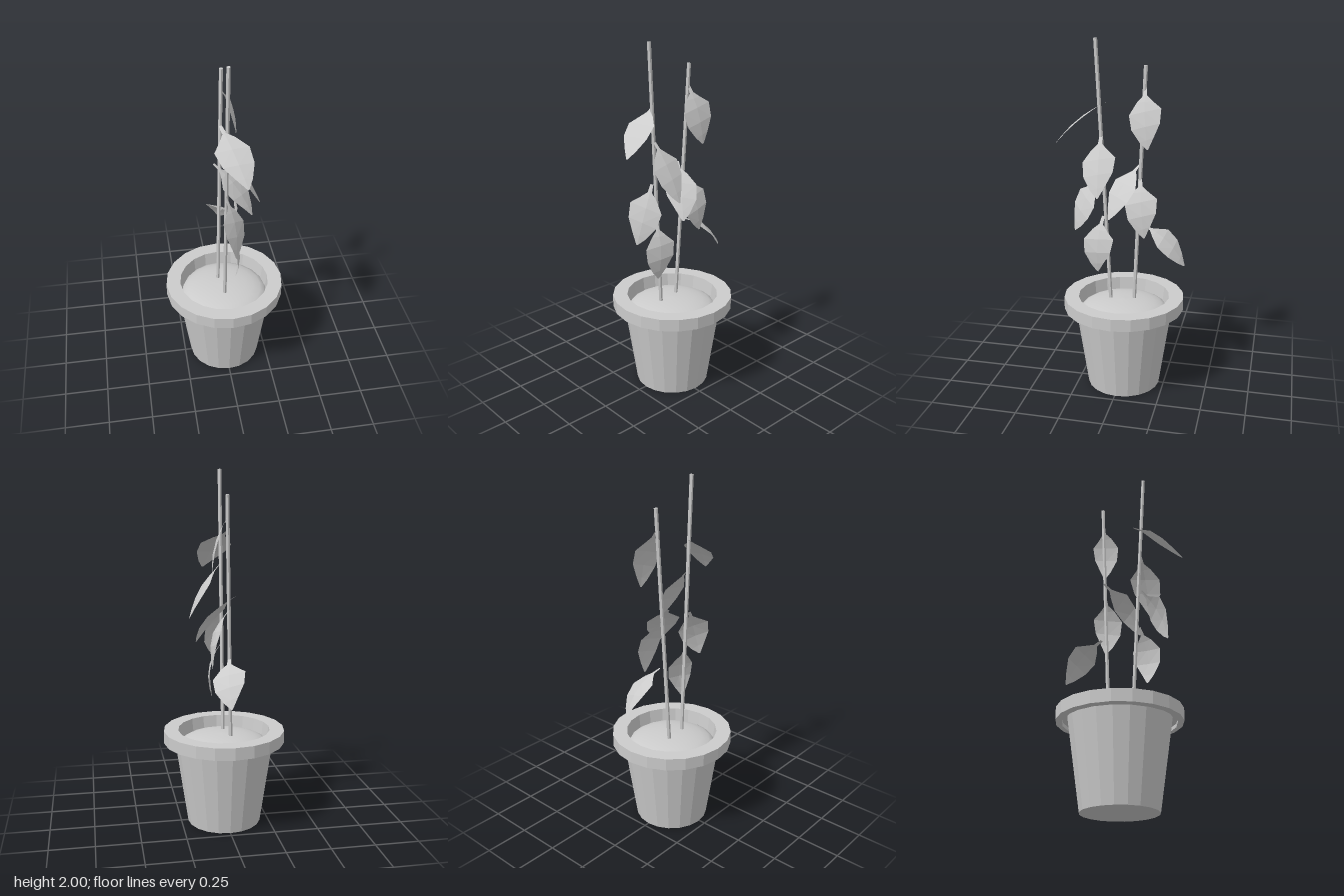
import * as THREE from 'three';

const V = (a) => new THREE.Vector3(...a);
const flat = new THREE.MeshStandardMaterial({ color: 0xcccccc, flatShading: true });
const smooth = new THREE.MeshStandardMaterial({ color: 0xcccccc });
const leafMat = new THREE.MeshStandardMaterial({ color: 0xcccccc, flatShading: true, side: THREE.DoubleSide });

function lathe(name, profile, material) {
  const points = profile.map(([r, y]) => new THREE.Vector2(r, y));
  const mesh = new THREE.Mesh(new THREE.LatheGeometry(points, 20), material);
  mesh.name = name;
  mesh.position.z = -0.01;
  return mesh;
}

// Straight six-sided cane between two points
function stem(name, from, to) {
  const a = V(from), b = V(to), dir = b.clone().sub(a);
  const mesh = new THREE.Mesh(new THREE.CylinderGeometry(0.011, 0.011, dir.length(), 6), flat);
  mesh.name = name;
  mesh.position.copy(a).add(b).multiplyScalar(0.5);
  mesh.quaternion.setFromUnitVectors(new THREE.Vector3(0, 1, 0), dir.normalize());
  return mesh;
}

// Blade outline: [distance along the leaf, half width, left/right stagger]
const OUTLINE = [
  [0, 0.008, 0], [0.14, 0.012, 0], [0.24, 0.045, 0], [0.4, 0.09, 0.04],
  [0.64, 0.08, 0.04], [0.85, 0.04, 0.03], [1, 0.004, 0],
];

// Arched leaf from stalk to tip; side is the direction across the blade
function leaf({ base, tip, side, arch = 0.03 }) {
  const b = V(base), dir = V(tip).sub(b);
  const across = side ? V(side) : new THREE.Vector3(dir.z, 0, -dir.x);
  const d = dir.clone().normalize();
  across.addScaledVector(d, -across.dot(d)).normalize();
  const up = new THREE.Vector3().crossVectors(d, across);
  if (up.y < 0) up.negate();
  const pos = [], index = [];
  OUTLINE.forEach(([t, w, stagger], i) => {
    for (const s of [-1, 0, 1]) {
      const u = t + s * stagger;
      const lift = arch * Math.sin(Math.PI * u) - Math.abs(s) * w * 0.08;
      const p = b.clone().addScaledVector(dir, u).addScaledVector(across, s * w).addScaledVector(up, lift);
      pos.push(p.x, p.y, p.z);
    }
    if (i === 0) return;
    for (const c of [0, 1]) {
      const k = (i - 1) * 3 + c;
      index.push(k, k + 1, k + 3, k + 1, k + 4, k + 3);
    }
  });
  const geo = new THREE.BufferGeometry();
  geo.setAttribute('position', new THREE.Float32BufferAttribute(pos, 3));
  geo.setIndex(index);
  geo.computeVertexNormals();
  const mesh = new THREE.Mesh(geo, leafMat);
  mesh.name = 'leaf';
  return mesh;
}

export function createModel() {
  const model = new THREE.Group();
  model.name = 'pottedPlant';

  // Tapered pot with an overhanging rim
  model.add(lathe('pot', [[0, 0], [0.21, 0], [0.283, 0.5]], flat));
  model.add(lathe('rim', [
    [0.283, 0.5], [0.31, 0.495], [0.31, 0.475], [0.345, 0.48],
    [0.345, 0.55], [0.262, 0.55], [0.25, 0.45],
  ], flat));

  // Gently domed soil
  const dome = [];
  for (let i = 0; i <= 6; i++) {
    const a = (i / 6) * Math.PI / 2;
    dome.push([0.253 * Math.cos(a), 0.46 + 0.065 * Math.sin(a)]);
  }
  model.add(lathe('soil', dome, smooth));

  // Two leaning stems
  model.add(stem('frontStem', [-0.008, 0.47, 0.068], [-0.003, 2, 0.147]));
  model.add(stem('backStem', [-0.03, 0.47, -0.062], [0.003, 1.865, -0.127]));

  // Leaves, from the top down on each stem
  const frontLeaves = [
    { base: [-0.035, 1.66, 0.095], tip: [0.065, 1.44, 0.36], side: [1, 0.1, -0.15], arch: 0.025 },
    { base: [0, 1.48, 0.12], tip: [0.18, 1.175, 0.1], side: [0, 0, 1], arch: 0.02 },
    { base: [-0.01, 1.24, 0.13], tip: [0.025, 0.935, 0.27], side: [0.65, -0.15, -0.7] },
    { base: [0, 1.02, 0.11], tip: [0.045, 0.7, 0.135], side: [-0.2, 0, 1], arch: 0.045 },
  ];
  const backLeaves = [
    { base: [0, 1.75, -0.125], tip: [0.09, 1.435, -0.155], side: [-0.15, 0, 1] },
    { base: [-0.045, 1.32, -0.09], tip: [0.15, 1.05, 0.045] },
    { base: [-0.01, 1.25, -0.1], tip: [0.085, 0.935, -0.14], side: [0, 0, 1], arch: 0.04 },
    { base: [-0.01, 0.98, -0.12], tip: [0.02, 0.765, -0.36], side: [1, -0.4, 0.1], arch: 0.04 },
  ];
  for (const [name, list] of [['frontLeaves', frontLeaves], ['backLeaves', backLeaves]]) {
    const group = new THREE.Group();
    group.name = name;
    list.forEach((spec) => group.add(leaf(spec)));
    model.add(group);
  }
  return model;
}
